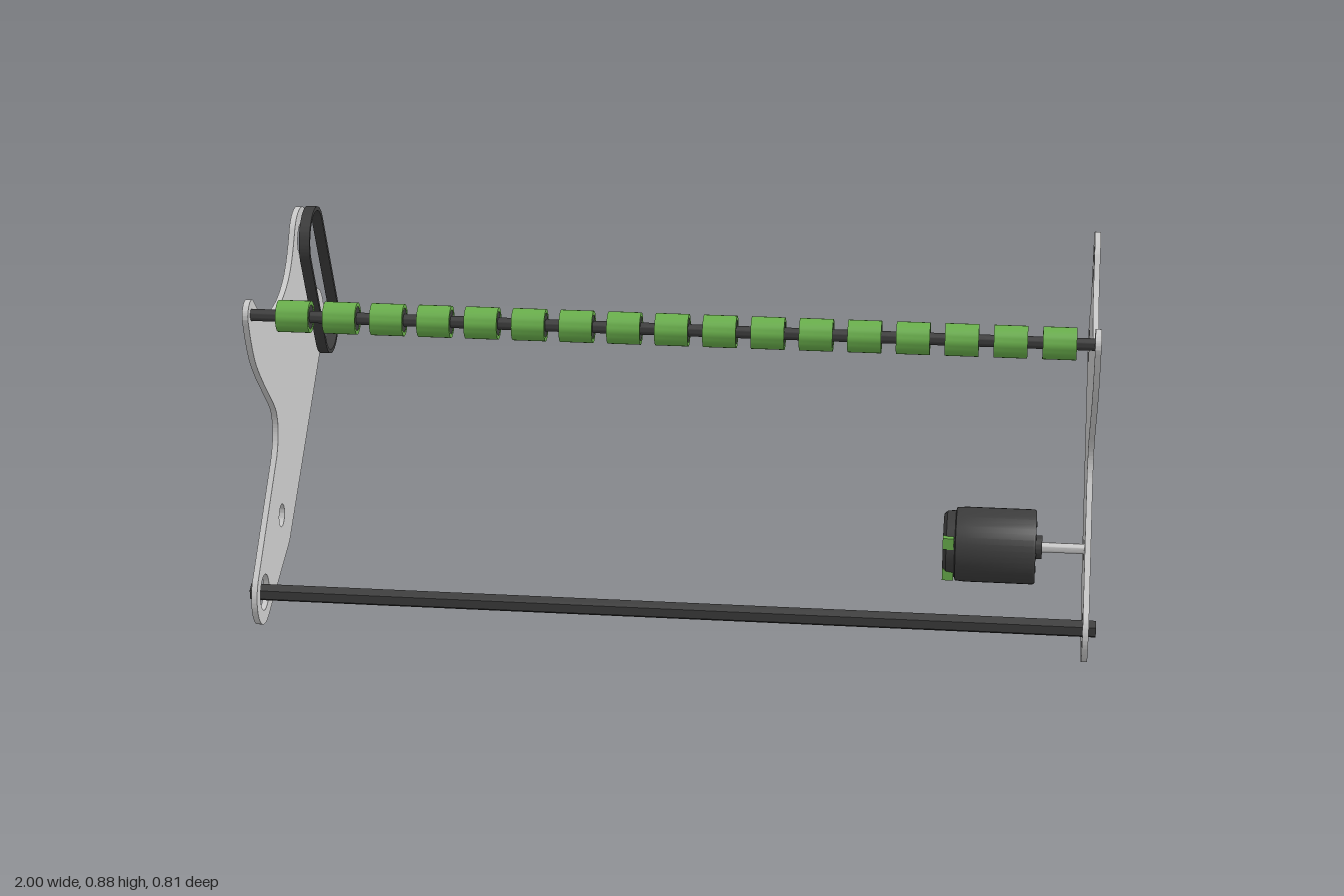
import * as THREE from 'three';
import { toCreasedNormals } from 'three/addons/utils/BufferGeometryUtils.js';

const grey = new THREE.MeshStandardMaterial({ color: 0xcccccc });
const dark = new THREE.MeshStandardMaterial({ color: 0x3c3c3c });
const green = new THREE.MeshStandardMaterial({ color: 0x6ab04c });
const rad = THREE.MathUtils.degToRad;

// Pulley, axle and motor centres as [z, y]
const TOP = [-0.195, 0.798], BACK = [-0.323, 0.546];
const ROLLER = [0.328, 0.772], FOOT = [0.33, 0.077], MOTOR = [0.13, 0.195];

function addMesh(parent, name, geometry, material) {
  const mesh = new THREE.Mesh(toCreasedNormals(geometry, rad(32)), material);
  mesh.name = name;
  parent.add(mesh);
  return mesh;
}

// Extrude a (z, y) shape along x, centred at the given x
function sideExtrude(shape, width, x) {
  const g = new THREE.ExtrudeGeometry(shape, { depth: width, bevelEnabled: false, curveSegments: 28 });
  g.translate(0, 0, -width / 2);
  g.rotateY(-Math.PI / 2);
  g.translate(x, 0, 0);
  return g;
}

// Turn a [radius, x] profile around an axis parallel to x
function turned(profile, [z, y], sides = 32) {
  const g = new THREE.LatheGeometry(profile.map(p => new THREE.Vector2(p[0], p[1])), sides);
  g.rotateY(Math.PI / sides);
  g.rotateZ(-Math.PI / 2);
  g.translate(0, y, z);
  return g;
}
const ring = (ri, ro, x0, x1) => [[ri, x0], [ro, x0], [ro, x1], [ri, x1], [ri, x0]];

function circleHole([z, y], r) {
  const p = new THREE.Path();
  p.absarc(z, y, r, 0, Math.PI * 2);
  return p;
}

function plateShape() {
  const s = new THREE.Shape();
  const arc = ([z, y], r, a, b) => s.absarc(z, y, r, rad(a), rad(b), true);
  const spline = pts => s.splineThru(pts.map(p => new THREE.Vector2(p[0], p[1])));
  s.moveTo(0.303, 0.797);
  arc(ROLLER, 0.035, 135, -15);
  spline([[0.342, 0.705], [0.31, 0.645], [0.258, 0.586]]);
  s.lineTo(0.165, 0.498);
  spline([[0.138, 0.465], [0.128, 0.425], [0.135, 0.388], [0.154, 0.355]]);
  arc(FOOT, 0.077, 45, -109);
  s.lineTo(0.08, 0.094);
  s.quadraticCurveTo(0.066, 0.099, 0.056, 0.107);
  arc(BACK, 0.08, 229, 108);
  spline([[-0.31, 0.651], [-0.283, 0.698], [-0.272, 0.75]]);
  arc(TOP, 0.08, 179, 35);
  spline([[-0.105, 0.805], [-0.075, 0.768], [-0.033, 0.737], [0.03, 0.714],
    [0.107, 0.708], [0.17, 0.717], [0.24, 0.745], [0.303, 0.797]]);
  s.holes.push(circleHole(TOP, 0.043), circleHole(BACK, 0.043), circleHole(FOOT, 0.043),
    circleHole(ROLLER, 0.008), circleHole(MOTOR, 0.028));
  return s;
}

// Loop around the two pulley positions
function beltLoop(path, r) {
  const a = Math.atan2(BACK[1] - TOP[1], BACK[0] - TOP[0]);
  path.absarc(TOP[0], TOP[1], r, a + Math.PI / 2, a + Math.PI * 1.5);
  path.absarc(BACK[0], BACK[1], r, a - Math.PI / 2, a + Math.PI / 2);
  path.closePath();
  return path;
}

function makeMotor() {
  const motor = new THREE.Group();
  motor.name = 'motor';
  addMesh(motor, 'motorBody', turned([[0, 0.637], [0.07, 0.637], [0.078, 0.645], [0.08, 0.665],
    [0.087, 0.667], [0.089, 0.69], [0.089, 0.85], [0.086, 0.855], [0, 0.855]], MOTOR, 40), dark);
  addMesh(motor, 'motorCollar', turned(ring(0.012, 0.028, 0.85, 0.87), MOTOR), dark);
  addMesh(motor, 'motorShaft', turned(ring(0.005, 0.012, 0.85, 0.97), MOTOR, 24), grey);
  // Ring of mounting bolts on the output face
  for (let i = 0; i < 8; i++) {
    const a = i * Math.PI / 4;
    const at = [MOTOR[0] + 0.058 * Math.cos(a), MOTOR[1] + 0.058 * Math.sin(a)];
    addMesh(motor, 'motorBolt', turned([[0, 0.85], [0.007, 0.85], [0.007, 0.857], [0, 0.857]], at, 12), dark);
  }
  // Terminals on the end cap
  for (const y of [0.225, 0.14]) {
    const g = new THREE.BoxGeometry(0.026, 0.028, 0.02);
    g.translate(0.65, y, y > 0.2 ? 0.2 : 0.183);
    addMesh(motor, 'terminal', g, green);
  }
  return motor;
}

export function createModel() {
  const model = new THREE.Group();

  // Side plates
  const shape = plateShape();
  for (const [name, x] of [['leftPlate', 0.975], ['rightPlate', -0.975]]) {
    addMesh(model, name, sideExtrude(shape, 0.014, x), grey);
  }

  // Belt inside the right plate
  const belt = beltLoop(new THREE.Shape(), 0.082);
  belt.holes.push(beltLoop(new THREE.Path(), 0.072));
  addMesh(model, 'belt', sideExtrude(belt, 0.026, -0.943), dark);

  // Hexagonal lower shaft and round roller axle
  addMesh(model, 'lowerShaft', turned(ring(0.005, 0.021, -1, 1), FOOT, 6), dark);
  addMesh(model, 'rollerAxle', turned(ring(0.006, 0.014, -0.968, 0.968), ROLLER, 24), dark);

  // Row of rollers with dark hubs
  const rollers = new THREE.Group();
  rollers.name = 'rollers';
  for (let i = 0; i < 17; i++) {
    const x = -0.866 + i * 0.1097;
    addMesh(rollers, 'roller', turned(ring(0.028, 0.037, x - 0.038, x + 0.038), ROLLER), green);
    addMesh(rollers, 'rollerHub', turned(ring(0.013, 0.028, x - 0.037, x + 0.037), ROLLER), dark);
  }
  model.add(rollers);

  model.add(makeMotor());
  return model;
}
